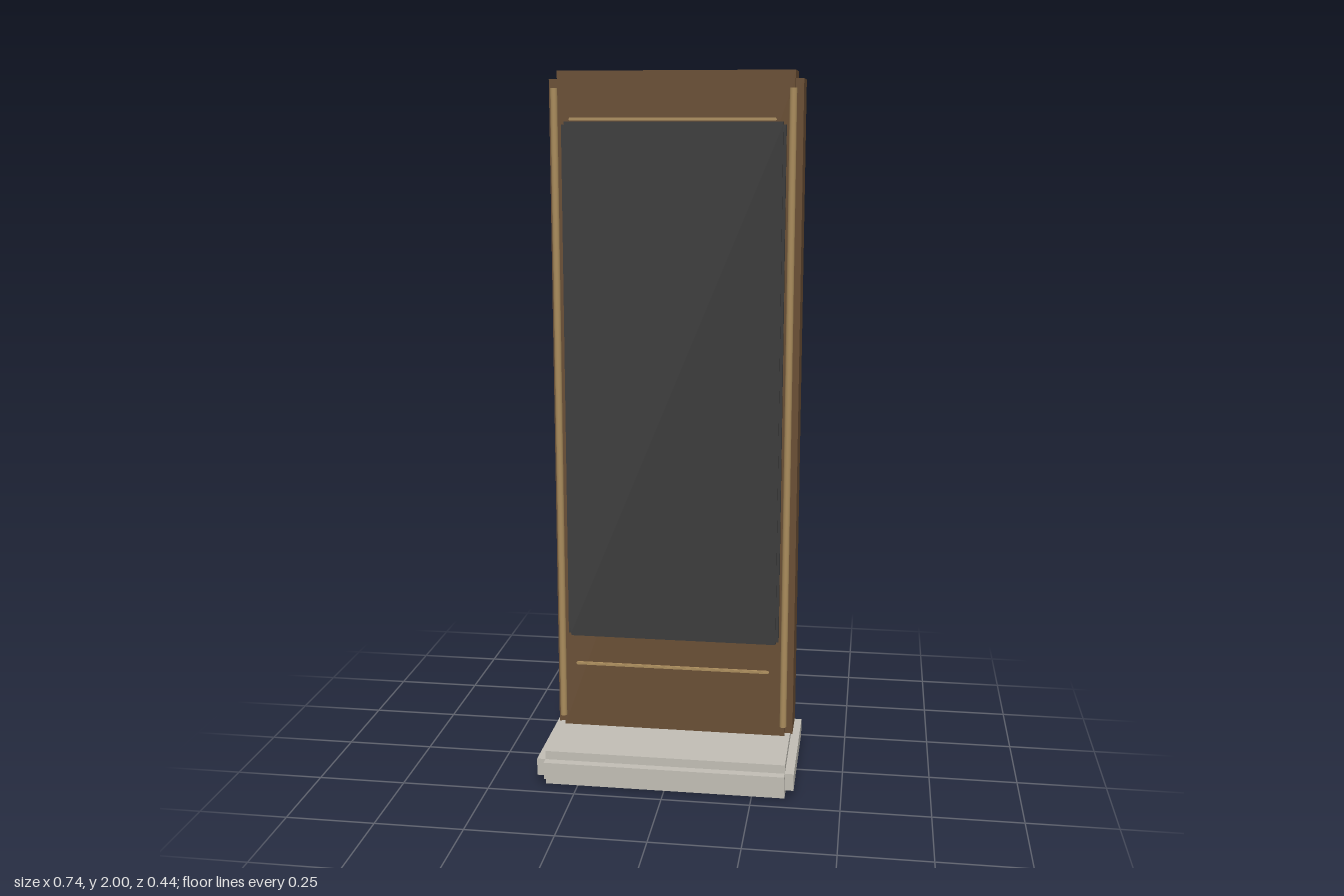
import * as THREE from 'three';

const material = (name, color) => {
  const m = new THREE.MeshStandardMaterial({ color });
  m.name = name;
  return m;
};

// Block with square notches along every edge: three crossing slabs, each full size on one axis.
function steppedBlock(name, [w, h, d], [x, y, z], step, mat) {
  const group = new THREE.Group();
  group.name = name;
  const inset = 2 * step;
  const slabs = {
    WideSlab: [w, h - inset, d - inset],
    TallSlab: [w - inset, h, d - inset],
    DeepSlab: [w - inset, h - inset, d],
  };
  for (const [suffix, size] of Object.entries(slabs)) {
    const mesh = new THREE.Mesh(new THREE.BoxGeometry(...size), mat);
    mesh.name = name + suffix;
    group.add(mesh);
  }
  group.position.set(x, y, z);
  return group;
}

export function createModel() {
  const model = new THREE.Group();
  model.name = 'displayStand';

  const stone = material('paleStone', 0xc2beb5);
  const wood = material('darkWood', 0x694e34);
  const glass = material('charcoalScreen', 0x3b3b3b);
  const brass = material('brass', 0xaa8c5c);

  // Foot, upright body and screen
  model.add(steppedBlock('base', [0.736, 0.1, 0.44], [0, 0.05, 0], 0.025, stone));
  model.add(steppedBlock('body', [0.7, 1.924, 0.177], [0, 1.038, -0.0935], 0.0225, wood));
  model.add(steppedBlock('screen', [0.615, 1.475, 0.031], [0, 1.1265, 0.0125], 0.008, glass));

  // Vertical brass rods beside the screen
  const rodGeometry = new THREE.CylinderGeometry(0.0098, 0.0098, 1.81, 12);
  for (const [name, side] of [['leftRod', 1], ['rightRod', -1]]) {
    const rod = new THREE.Mesh(rodGeometry, brass);
    rod.name = name;
    rod.position.set(side * 0.325, 1.047, 0.025);
    model.add(rod);
  }

  // Slim brass trim bars above and below the screen
  for (const [name, y] of [['upperTrim', 1.87], ['lowerTrim', 0.31]]) {
    model.add(steppedBlock(name, [0.565, 0.008, 0.01], [0, y, 0.034], 0.002, brass));
  }

  return model;
}
